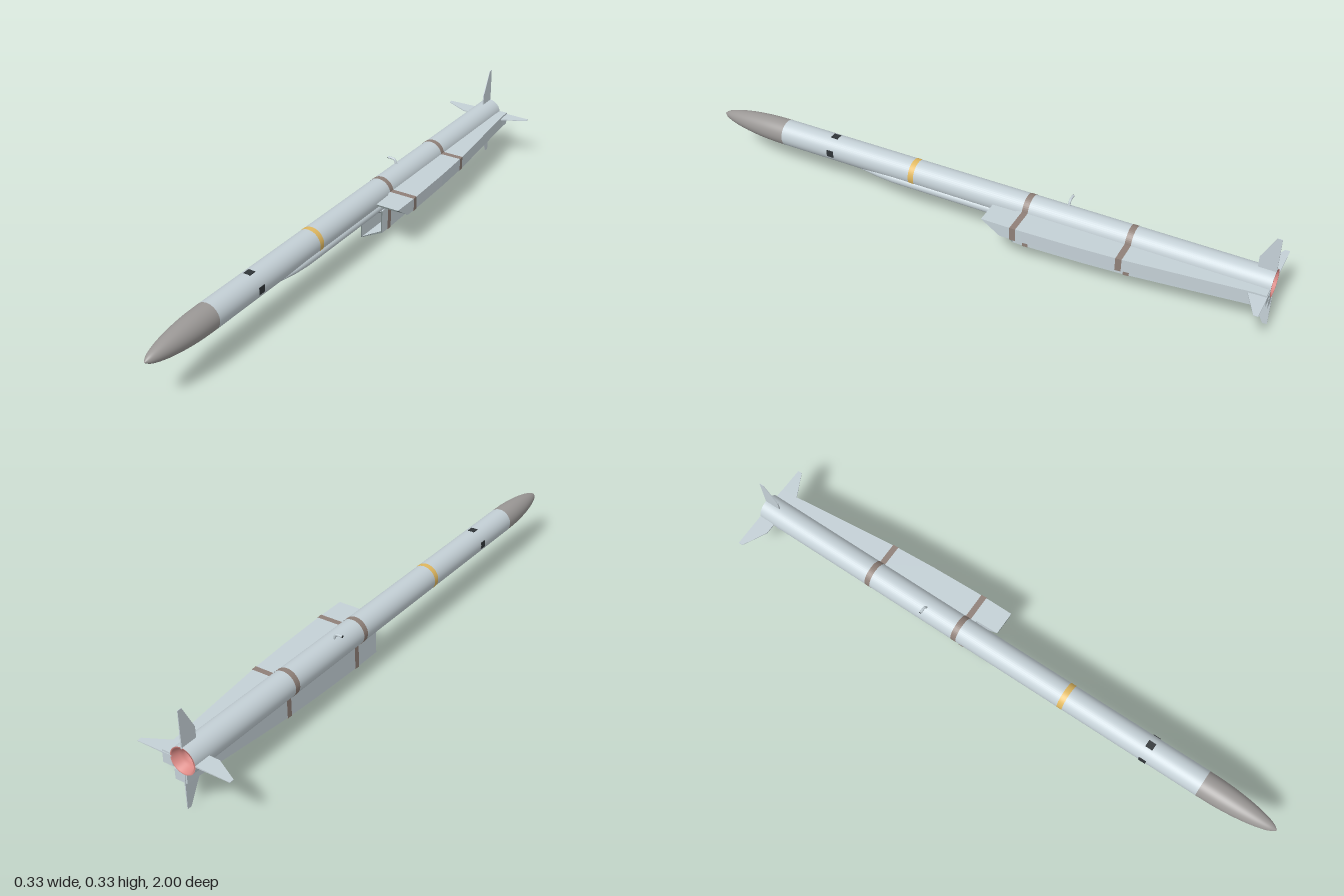
import * as THREE from 'three';

const AXIS = 0.165, R = 0.045;
const W0 = -0.008, W1 = 0.036; // lateral limits of an intake duct
const mat = (color, extra = {}) => new THREE.MeshStandardMaterial({ color, ...extra });
const skin = mat(0xc4d0d6);
const flatSkin = mat(0xc4d0d6, { flatShading: true, side: THREE.DoubleSide });
const rim = mat(0x768282, { flatShading: true, side: THREE.DoubleSide });
const noseGrey = mat(0x9b9896);
const brown = mat(0x8f8078, { flatShading: true, side: THREE.DoubleSide });
const yellow = mat(0xe0b860);
const dark = mat(0x303538);
const red = mat(0xdc8a86, { side: THREE.DoubleSide });

function add(group, name, geometry, material) {
  const mesh = new THREE.Mesh(geometry, material);
  mesh.name = name;
  group.add(mesh);
  return mesh;
}

// Turned part along z; profile is [radius, z] with z rising
function turned(profile, segments = 48) {
  return new THREE.LatheGeometry(profile.map(([r, z]) => new THREE.Vector2(r, z)), segments).rotateX(Math.PI / 2);
}

// Duct section as four [w, u, z] corners: w lateral, u outward from the body axis.
// The raked mouth sets the far corners back.
function section(z, uA, uB, u1, grow = 0, rake = 0) {
  return [
    [W0 - grow, uA - grow, z], [W1 + grow, uB - grow, z - rake],
    [W1 + grow, u1 + grow, z - rake], [W0 - grow, u1 + grow, z],
  ];
}

// Skin between successive four-cornered sections
function loft(sections, place, flip, capEnd = false) {
  const pos = [], idx = [];
  sections.forEach((s) => s.forEach((c) => pos.push(...place(c))));
  const quad = (a, b, c, d) => idx.push(...(flip ? [a, c, b, a, d, c] : [a, b, c, a, c, d]));
  for (let i = 0; i < sections.length - 1; i++) {
    for (let k = 0; k < 4; k++) {
      const n = (k + 1) % 4;
      quad(i * 4 + k, i * 4 + 4 + k, i * 4 + 4 + n, i * 4 + n);
    }
  }
  const e = (sections.length - 1) * 4;
  if (capEnd) quad(e, e + 3, e + 2, e + 1);
  const g = new THREE.BufferGeometry();
  g.setAttribute('position', new THREE.Float32BufferAttribute(pos, 3));
  g.setIndex(idx);
  const flat = g.toNonIndexed();
  flat.computeVertexNormals();
  return flat;
}

function intake(name, place, flip) {
  const g = new THREE.Group();
  g.name = name;
  const rake = 0.065;
  const mouth = section(-0.09, 0.052, 0.052, 0.135, 0, rake);
  const lip = section(-0.09, 0.052, 0.052, 0.135, -0.005, rake);
  // outer shell, hugging the body behind the gap at the mouth
  add(g, 'ductShell', loft([
    mouth,
    section(-0.17, 0.05, 0.05, 0.135),
    section(-0.18, 0.044, 0.027, 0.135),
    section(-0.23, 0.044, 0.027, 0.134),
    section(-0.4, 0.044, 0.027, 0.128),
    section(-0.55, 0.044, 0.027, 0.119),
    section(-0.7, 0.044, 0.027, 0.104),
    section(-0.94, 0.044, 0.027, 0.079),
    section(-0.96, 0.044, 0.027, 0.077),
    section(-0.998, 0.046, 0.04, 0.076),
  ], place, flip, true), flatSkin);
  add(g, 'inletLip', loft([lip, mouth], place, flip), rim);
  add(g, 'inletThroat', loft([lip, section(-0.26, 0.052, 0.052, 0.135, -0.005)], place, !flip, true), flatSkin);
  // painted bands
  for (const [z, u] of [[-0.2, 0.135], [-0.55, 0.119]]) {
    add(g, 'ductBand', loft([
      section(z + 0.01, 0.044, 0.027, u + 0.001, 0.001),
      section(z - 0.01, 0.044, 0.027, u - 0.0005, 0.001),
    ], place, flip), brown);
  }
  return g;
}

// Tail fin pointing up from the body axis, thinning to the tip
function finGeometry() {
  const s = new THREE.Shape();
  [[0.943, 0.04], [0.943, 0.082], [0.985, 0.165], [1, 0.165], [1, 0.04]]
    .forEach(([z, y], i) => (i ? s.lineTo(-z, y) : s.moveTo(-z, y)));
  const g = new THREE.ExtrudeGeometry(s, { depth: 0.005, bevelEnabled: false });
  g.translate(0, 0, -0.0025).rotateY(-Math.PI / 2);
  const p = g.attributes.position;
  for (let i = 0; i < p.count; i++) {
    p.setX(i, p.getX(i) * (1 - 0.65 * (p.getY(i) - 0.04) / 0.125));
  }
  g.computeVertexNormals();
  return g;
}

export function createModel() {
  const model = new THREE.Group();
  model.name = 'model';
  const core = new THREE.Group();
  core.name = 'bodyGroup';
  core.position.y = AXIS;
  model.add(core);

  // body, nose and nozzle
  add(core, 'body', turned([[R, -1], [R, 0.73]]), skin);
  const nose = new THREE.SplineCurve([[R, 0.73], [0.0435, 0.8], [0.0375, 0.87], [0.028, 0.93], [0.015, 0.977], [0, 1]]
    .map(([r, z]) => new THREE.Vector2(r, z)));
  add(core, 'nose', turned(nose.getPoints(20).map((p) => [Math.max(0, p.x), p.y])), noseGrey);
  add(core, 'nozzle', turned([[0, -0.92], [0.026, -0.92], [0.028, -0.968], [0.034, -0.975], [0.04, -1], [R, -1]].reverse()), red);

  // bands around the body
  for (const [z, m] of [[-0.2, brown], [-0.55, brown], [0.218, yellow]]) {
    add(core, 'bodyBand', turned([[R + 0.0007, z - 0.01], [R + 0.0007, z + 0.01]]), m);
  }

  // four sensor windows and four tail fins
  const fin = finGeometry();
  for (let i = 0; i < 4; i++) {
    const turn = i * Math.PI / 2;
    add(core, 'sensorWindow', new THREE.BoxGeometry(0.024, 0.004, 0.026).translate(0, 0.0438, 0.532), dark).rotation.z = turn;
    add(core, 'tailFin', fin, flatSkin).rotation.z = turn;
  }

  // cable fairing between the ducts
  const fairing = turned([[0, -0.75], [0.013, -0.745], [0.016, -0.72], [0.016, 0.29], [0.012, 0.35], [0.003, 0.42], [0, 0.42]], 24);
  add(core, 'cableFairing', fairing.translate(0.03, -0.03, 0), skin);

  // bent connector on top
  const path = new THREE.CatmullRomCurve3([[-0.012, 0.035], [-0.016, 0.047], [-0.021, 0.057], [-0.03, 0.0595], [-0.046, 0.0595]]
    .map(([x, y]) => new THREE.Vector3(x, y, -0.326)));
  add(core, 'connectorTube', new THREE.TubeGeometry(path, 20, 0.0043, 10), skin);
  add(core, 'connectorEnd', new THREE.CylinderGeometry(0.0043, 0.0043, 0.001, 10).rotateZ(Math.PI / 2)
    .translate(-0.046, 0.0595, -0.326), dark);

  // lower and side intakes mirror each other across the diagonal
  core.add(intake('lowerIntake', ([w, u, z]) => [w, -u, z], true));
  core.add(intake('sideIntake', ([w, u, z]) => [u, -w, z], false));
  return model;
}
